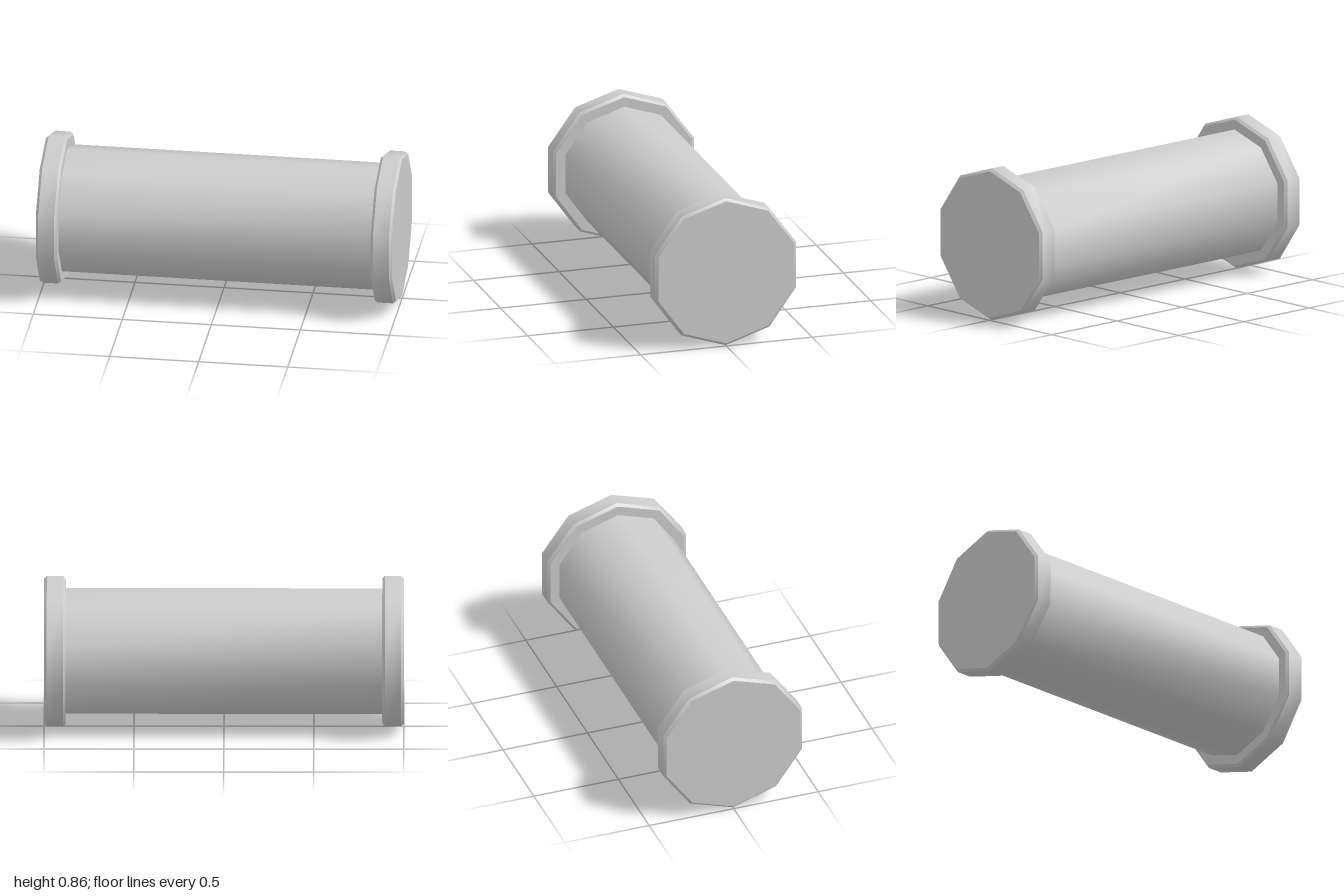
import * as THREE from 'three';
import { toCreasedNormals } from 'three/addons/utils/BufferGeometryUtils.js';

const SIDES = 10;
const RADIUS = 0.432;   // end flange, corner to centre
const BARREL = 0.361;   // barrel, corner to centre
const INNER = 0.88;     // x where each flange begins
const BEVEL = 0.015;

// Ten-sided turned part lying along x; profile is [radius, x] with rising x
function turned(profile) {
  const points = profile.map(([r, x]) => new THREE.Vector2(r, x));
  const geometry = new THREE.LatheGeometry(points, SIDES, Math.PI / 2);
  geometry.rotateZ(-Math.PI / 2);
  return toCreasedNormals(geometry, THREE.MathUtils.degToRad(40));
}

export function createModel() {
  const model = new THREE.Group();
  model.name = 'flangedRoller';
  const material = new THREE.MeshStandardMaterial({ color: 0xcccccc });

  function add(name, geometry) {
    const mesh = new THREE.Mesh(geometry, material);
    mesh.name = name;
    mesh.position.y = RADIUS;
    model.add(mesh);
    return mesh;
  }

  // Barrel between the flanges
  add('barrel', turned([[BARREL, -INNER], [BARREL, INNER]]));

  // Bevelled end flanges, the second turned to face the other way
  const flange = turned([
    [BARREL, INNER],
    [RADIUS - BEVEL, INNER],
    [RADIUS, INNER + BEVEL],
    [RADIUS, 1 - BEVEL],
    [RADIUS - BEVEL, 1],
    [0, 1],
  ]);
  add('leftFlange', flange);
  add('rightFlange', flange).rotation.y = Math.PI;

  return model;
}
